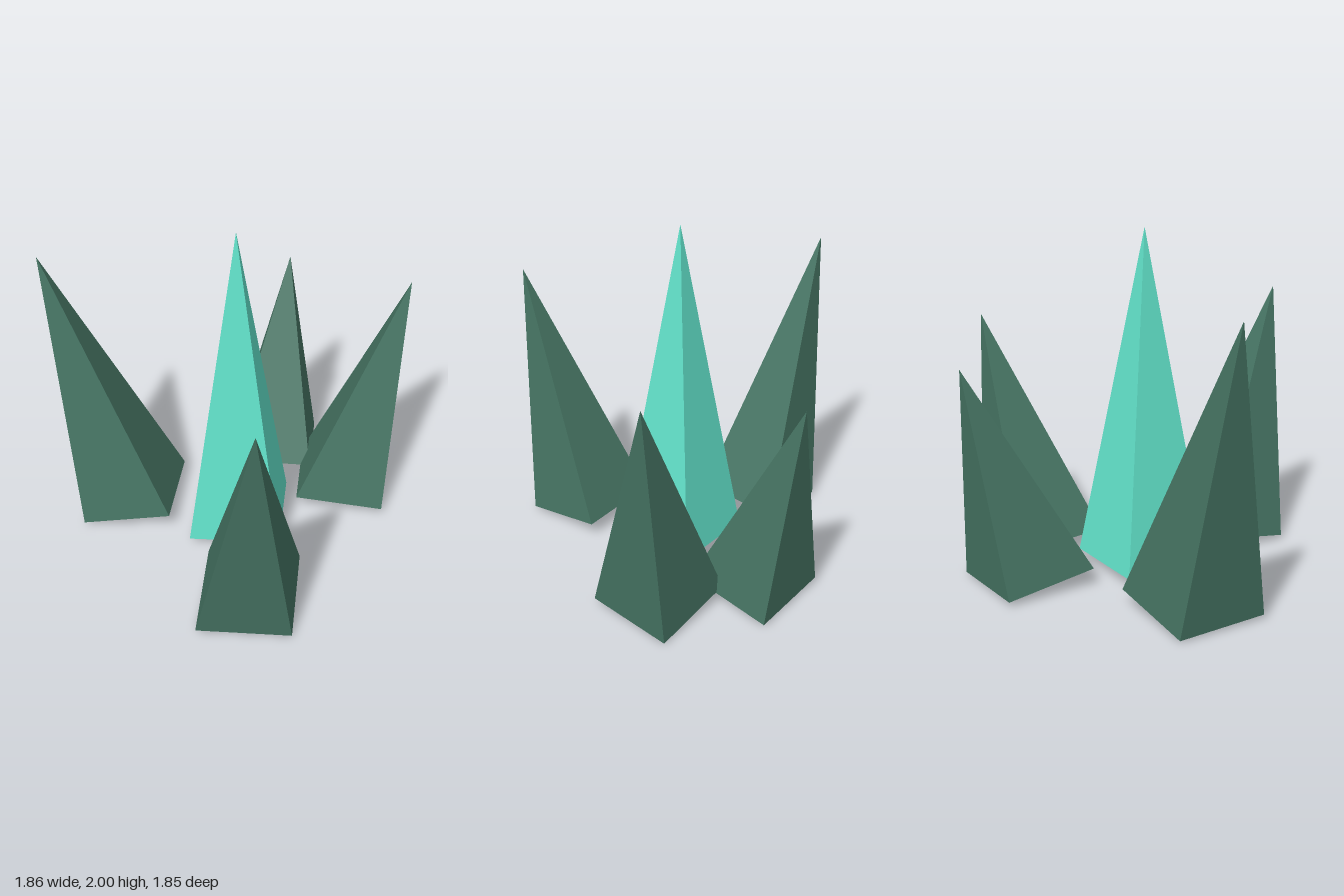
import * as THREE from 'three';

// Four-sided spike: apex, base centre and two half-diagonals (right and front)
function spikeGeometry(apex, centre, right, front) {
  const v = (a) => new THREE.Vector3(...a);
  const c = v(centre), r = v(right), f = v(front), tip = v(apex);
  // base corners running front, right, back, left
  const base = [c.clone().add(f), c.clone().add(r), c.clone().sub(f), c.clone().sub(r)];
  const points = [];
  for (let i = 0; i < 4; i++) {
    const a = base[i], b = base[(i + 1) % 4];
    points.push(a, b, tip, b, a, c);
  }
  const geometry = new THREE.BufferGeometry().setFromPoints(points);
  geometry.computeVertexNormals();
  return geometry;
}

export function createModel() {
  const model = new THREE.Group();
  const brightTeal = new THREE.MeshStandardMaterial({ color: 0x62e2ca });
  const darkGreen = new THREE.MeshStandardMaterial({ color: 0x457362 });

  const spikes = [
    // upright central crystal
    ['centreSpike', brightTeal, [0.007, 2, 0.147], [0.007, 0.06, 0.147], [0.368, 0, 0], [0, 0, 0.387]],
    // outer crystals leaning outwards
    ['frontLeftSpike', darkGreen, [0.915, 1.55, 0.785], [0.563, 0.06, 0.537], [0.362, -0.05, -0.005], [0, -0.032, 0.387]],
    ['frontRightSpike', darkGreen, [-0.93, 1.69, 0.807], [-0.548, 0.06, 0.537], [0.36, 0.048, 0.005], [0, -0.032, 0.387]],
    ['backLeftSpike', darkGreen, [0.298, 1.415, -0.927], [0.195, 0.06, -0.538], [0.364, -0.017, 0], [0, 0.057, 0.384]],
    ['backRightSpike', darkGreen, [-0.553, 1.28, -0.745], [-0.362, 0.06, -0.442], [0.364, 0.029, 0], [0, 0.05, 0.384]],
  ];
  for (const [name, material, ...shape] of spikes) {
    const mesh = new THREE.Mesh(spikeGeometry(...shape), material);
    mesh.name = name;
    model.add(mesh);
  }
  return model;
}
